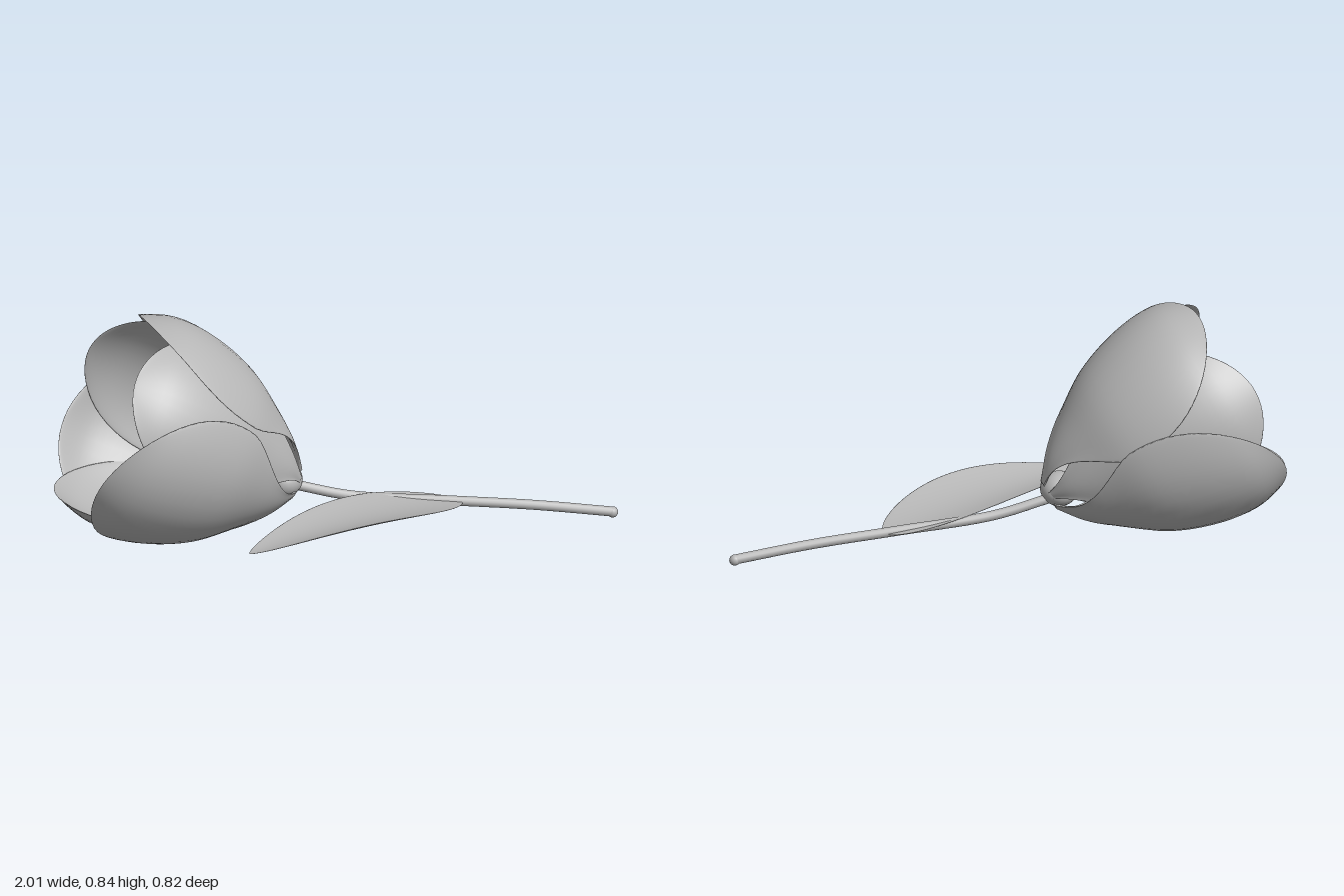
import * as THREE from 'three';

const V = (x, y, z) => new THREE.Vector3(x, y, z);
const grey = new THREE.MeshStandardMaterial({ color: 0xb6b6b6, side: THREE.DoubleSide });
grey.name = 'soft grey';

// Flower frame: base point, axis, and the two directions across it
const base = V(-0.14, 0.18, -0.1);
const axis = V(-0.885, 0.435, 0.15).normalize();
const up = V(0, 1, 0).addScaledVector(axis, -axis.y).normalize();
const side = V(0, 0, 0).crossVectors(up, axis);

// Point at distance t along the flower axis, radius r, angle a from the top towards +z
const around = (t, r, a) => base.clone().addScaledVector(axis, t)
  .addScaledVector(up, r * Math.cos(a)).addScaledVector(side, r * Math.sin(a));

function part(name, geometry) {
  const m = new THREE.Mesh(geometry, grey);
  m.name = name;
  return m;
}

// Thin closed blade: rows along its length, each a lens-shaped loop across its width.
// point(p, v, o): p = 0..1 along, v = -1..1 across, o = -1..1 through the thickness.
function blade(name, point, rows = 36, loop = 40) {
  const pos = [], index = [];
  for (let i = 0; i <= rows; i++) {
    const p = (1 - Math.cos(Math.PI * i / rows)) / 2;
    for (let k = 0; k < loop; k++) {
      const a = 2 * Math.PI * k / loop;
      pos.push(...point(p, Math.cos(a), Math.sin(a)).toArray());
      if (i < rows) {
        const n = (k + 1) % loop, q = i * loop;
        index.push(q + k, q + loop + k, q + n, q + n, q + loop + k, q + loop + n);
      }
    }
  }
  const g = new THREE.BufferGeometry();
  g.setAttribute('position', new THREE.Float32BufferAttribute(pos, 3));
  g.setIndex(index);
  g.computeVertexNormals();
  return part(name, g);
}

// Bulb profile: distance along the axis, radius
const profile = new THREE.SplineCurve([
  [0.01, 0.05], [0.08, 0.135], [0.19, 0.225], [0.33, 0.32], [0.5, 0.38], [0.65, 0.395], [0.78, 0.36],
].map(([t, r]) => new THREE.Vector2(t, r)));

function petal(name, degrees, halfDegrees, length, scale) {
  const centre = THREE.MathUtils.degToRad(degrees);
  const half = THREE.MathUtils.degToRad(halfDegrees);
  return blade(name, (p, v, o) => {
    const c = profile.getPointAt(p);
    const taper = Math.sqrt(Math.max(0, 1 - Math.max(0, (p - 0.5) / 0.5) ** 2));
    const width = half * (0.22 + 0.78 * THREE.MathUtils.smoothstep(p, -0.05, 0.48)) * taper;
    const r = c.y * scale + 0.01 * o * taper + 0.01 * v ** 6 * taper;
    return around(c.x * length, r, centre + v * width);
  });
}

export function createModel() {
  const model = new THREE.Group();
  model.name = 'cut flower';

  // Three outer petals, three inner ones between them
  const flower = new THREE.Group();
  flower.name = 'blossom';
  flower.add(
    petal('outerPetalTop', -11, 59, 1, 1),
    petal('outerPetalFront', 113, 61, 0.99, 1.03),
    petal('outerPetalBack', -125, 60, 1.01, 1.01),
    petal('innerPetalFront', 50, 53, 1.03, 0.92),
    petal('innerPetalBottom', 178, 56, 1.03, 0.97),
    petal('innerPetalBack', -70, 54, 1.05, 0.92),
  );
  model.add(flower);

  // Receptacle at the foot of the petals
  const hub = part('receptacle', new THREE.SphereGeometry(0.072, 24, 16));
  hub.position.copy(around(0.055, 0, 0));
  hub.scale.set(0.95, 0.85, 1.05);
  model.add(hub);

  // Short stamens inside the cup
  for (let i = 0; i < 3; i++) {
    const a = i * Math.PI * 2 / 3;
    const path = new THREE.LineCurve3(around(0.08, 0.02, a), around(0.17, 0.035, a));
    model.add(part('stamen', new THREE.TubeGeometry(path, 1, 0.008, 8)));
  }

  // Gently bowed stem with a rounded cut end
  const path = new THREE.CatmullRomCurve3([
    V(-0.15, 0.175, -0.11), V(0.05, 0.125, -0.128), V(0.4, 0.092, -0.158),
    V(0.7, 0.064, -0.182), V(0.985, 0.026, -0.208),
  ]);
  model.add(part('stem', new THREE.TubeGeometry(path, 40, 0.018, 14)));
  const end = part('stemEnd', new THREE.SphereGeometry(0.02, 14, 10));
  end.position.set(0.98, 0.025, -0.208);
  model.add(end);

  // Single cupped leaf lying across the stem, its front edge a little higher
  const root = V(0.44, 0.088, -0.17), along = V(-0.75, 0.012, 0.5), across = V(0.555, 0, 0.832);
  model.add(blade('leaf', (p, v, o) => {
    const bulge = Math.sin(Math.PI * p);
    const width = 0.148 * Math.max(0, Math.sin(Math.PI * p ** 0.78)) ** 0.7;
    const q = root.clone().addScaledVector(along, p).addScaledVector(across, v * width);
    q.y += (0.026 + 0.032 * v * v + 0.008 * v) * bulge + 0.007 * o * Math.sqrt(Math.max(0, bulge));
    return q;
  }));

  return model;
}
